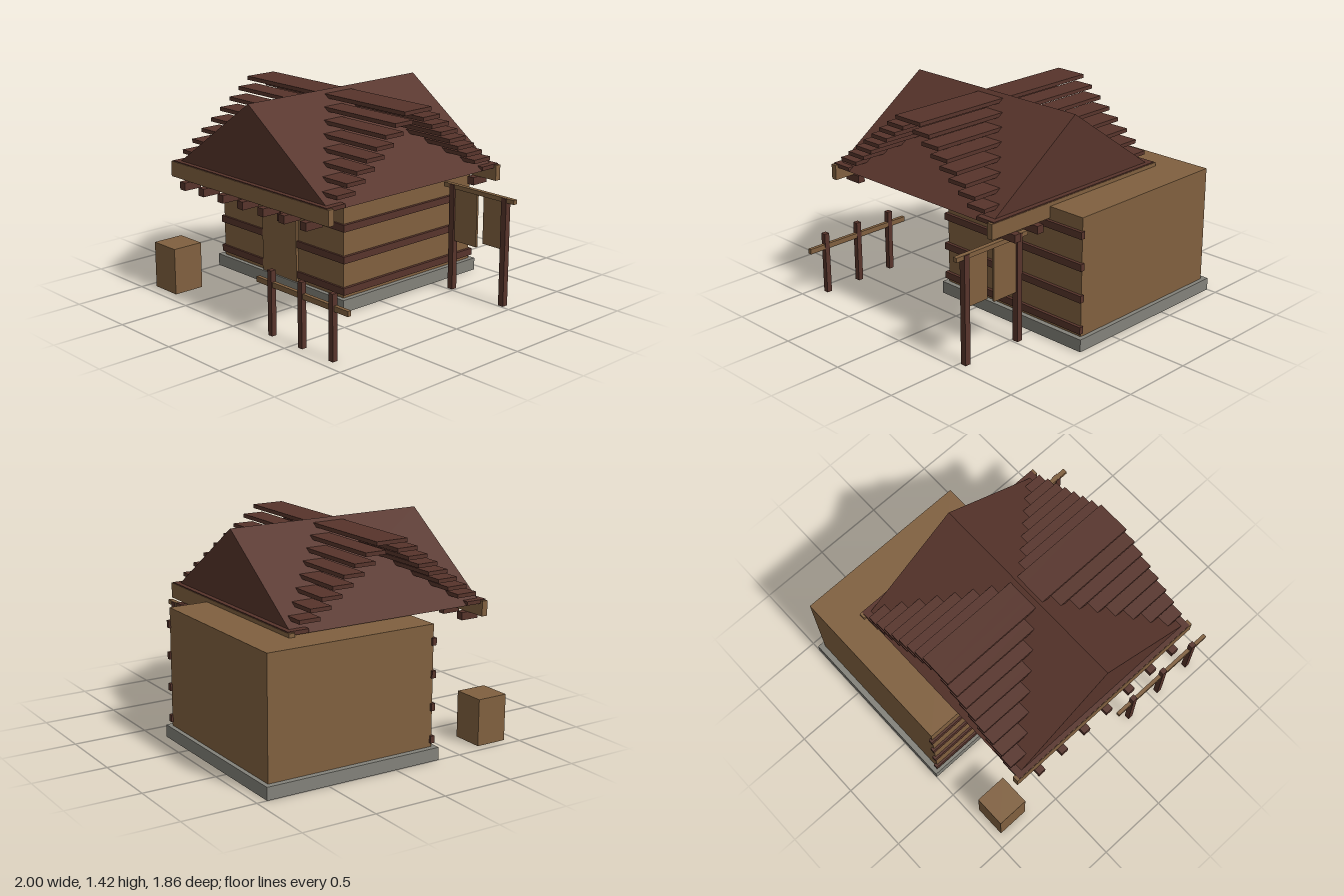
import * as THREE from 'three';

export function createModel() {
  const root = new THREE.Group();
  root.name = 'timberHouse';
  const mat = (name, color, side = THREE.FrontSide) => {
    const m = new THREE.MeshStandardMaterial({ color, side });
    m.name = name;
    return m;
  };
  const tan = mat('tanWood', 0x80603f);
  const dark = mat('darkWood', 0x57342b);
  const stone = mat('greyStone', 0x83827a);

  // Box given by its limits on each axis
  const box = (name, material, [x0, x1], [y0, y1], [z0, z1], parent = root) => {
    const mesh = new THREE.Mesh(new THREE.BoxGeometry(x1 - x0, y1 - y0, z1 - z0), material);
    mesh.position.set((x0 + x1) / 2, (y0 + y1) / 2, (z0 + z1) / 2);
    mesh.name = name;
    parent.add(mesh);
    return mesh;
  };
  const around = (c, size) => [c - size / 2, c + size / 2];
  const group = (name) => {
    const g = new THREE.Group();
    g.name = name;
    root.add(g);
    return g;
  };

  // House body on its stone footing
  box('foundation', stone, [-1, 0.31], [0, 0.085], [-0.93, 0.33]);
  box('walls', tan, [-0.96, 0.275], [0.085, 0.89], [-0.9, 0.3]);

  // Horizontal timbers on the front and left walls
  const timbers = group('wallTimbers');
  for (const y of [0.135, 0.35, 0.565, 0.778]) {
    box('frontTimber', dark, [-0.975, 0.297], around(y, 0.048), [0.285, 0.314], timbers);
    box('sideTimber', dark, [0.265, 0.297], around(y, 0.048), [-0.912, 0.314], timbers);
  }

  // Door, canopy with hanging posts, and sloped panel above
  box('door', tan, [-0.52, -0.17], [0.085, 0.69], [0.28, 0.318]);
  const canopy = group('doorCanopy');
  box('canopyTop', dark, [-0.613, -0.092], [0.76, 0.79], [0.3, 0.505], canopy);
  for (const s of [-1, 1])
    box('canopyPost', dark, around(-0.345 + s * 0.205, 0.035), [0.555, 0.765], [0.455, 0.49], canopy);
  const panel = box('slopedPanel', tan, [-0.51, -0.18], [0.73, 0.9], [0.31, 0.325]);
  panel.rotation.x = 0.38;

  // Gable roof with its ridge running front to back
  const gable = new THREE.Shape();
  gable.moveTo(-0.735, 0.895);
  gable.lineTo(0.76, 0.895);
  gable.lineTo(0.012, 1.42);
  const roof = new THREE.Mesh(
    new THREE.ExtrudeGeometry(gable, { depth: 1.443, bevelEnabled: false }), dark);
  roof.position.z = -0.59;
  roof.name = 'roof';
  root.add(roof);

  // Stepped planks crossing the roof
  const planks = group('roofPlanks');
  for (let i = 0; i < 9; i++)
    for (const s of [-1, 1])
      box('roofPlank', dark, [-0.742, 0.764], around(1.387 - i * 0.0596, 0.026),
        around(0.13 + s * (0.04 + 0.08 * i), 0.15), planks);

  // Eave beams and the rafter ends beneath them
  const eaves = group('eaves');
  for (const s of [-1, 1]) {
    box('eaveBeam', tan, [-0.76, 0.782], [0.813, 0.916], around(0.13 + s * 0.737, 0.042), eaves);
    for (let i = 0; i < 7; i++)
      box('rafterEnd', dark, around(-0.585 + i * 0.198, 0.054), [0.76, 0.813],
        around(0.13 + s * 0.735, 0.13), eaves);
  }

  // Front fence
  const fence = group('fence');
  for (const x of [0.285, 0.567, 0.845])
    box('fencePost', dark, around(x, 0.037), [0, 0.43], around(0.913, 0.037), fence);
  box('fenceRail', tan, [0.15, 0.985], [0.32, 0.355], around(0.91, 0.026), fence);

  // Crate beside the house
  box('crate', tan, [-0.938, -0.715], [0, 0.318], [0.7, 0.92]);

  // Drying rack with two hanging cloths
  const rack = group('dryingRack');
  for (const x of [0.465, 0.92])
    box('rackPost', dark, around(x, 0.042), [0, 0.738], around(-0.532, 0.042), rack);
  box('rackRail', tan, [0.39, 1], [0.71, 0.74], around(-0.532, 0.032), rack);
  box('longCloth', tan, [0.48, 0.68], [0.345, 0.715], around(-0.532, 0.016), rack);
  box('shortCloth', tan, [0.737, 0.935], [0.385, 0.715], around(-0.532, 0.016), rack);

  return root;
}
